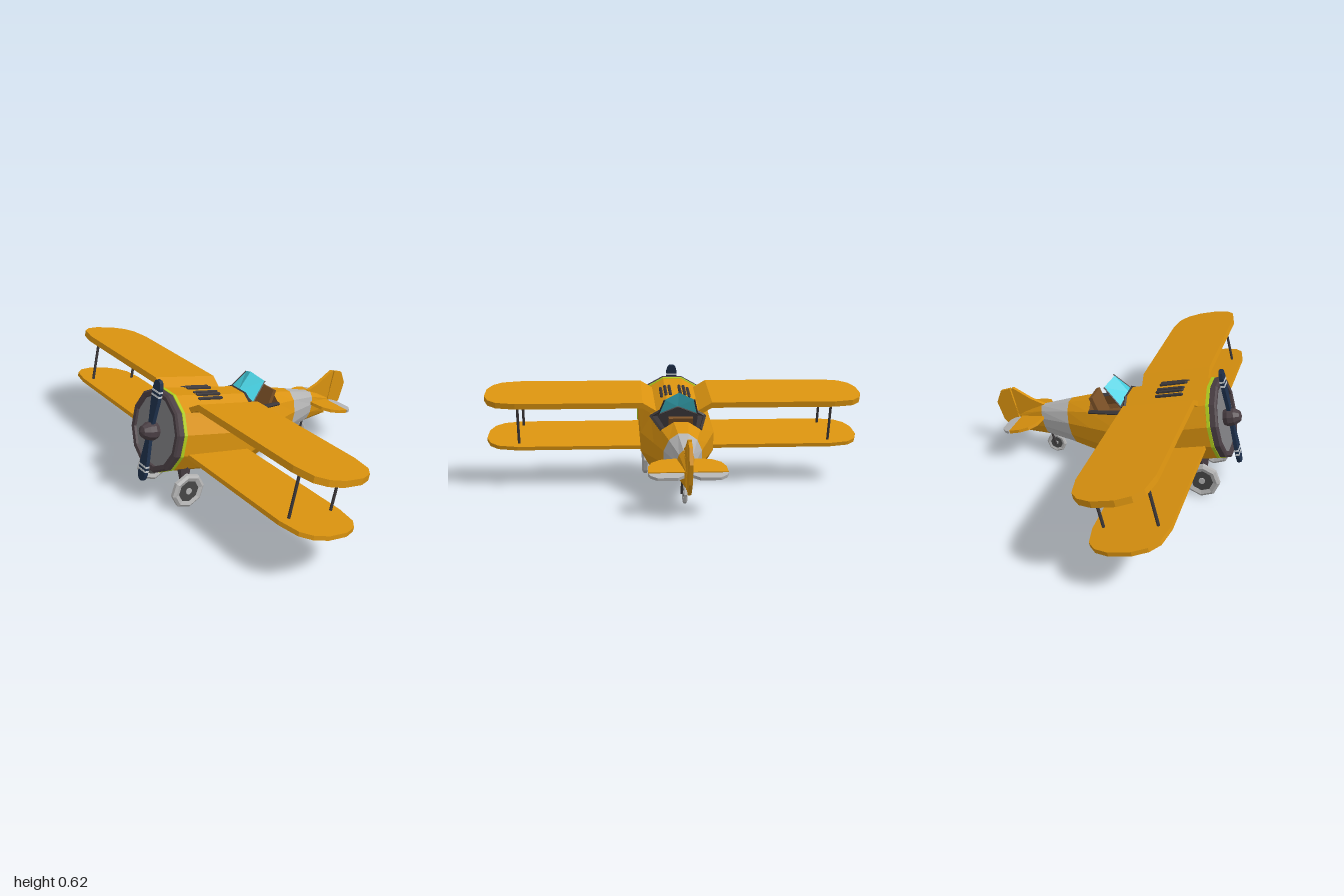
import * as THREE from 'three';

const mat = (color) => new THREE.MeshStandardMaterial({ color, flatShading: true, side: THREE.DoubleSide });
const YELLOW = mat(0xd9920f), GREY = mat(0xb4b4b4), DARK = mat(0x3a3638), CHARCOAL = mat(0x464646);
const LIME = mat(0xaecb1e), DISC = mat(0x7d7d80), NAVY = mat(0x1d2f4a), PALE = mat(0xc8ccd0);
const CYAN = mat(0x45cfe0), BROWN = mat(0x7a5026), HUB = mat(0x4a3f44);
const D = Math.PI / 180;

function add(parent, name, geo, material) {
  const m = new THREE.Mesh(geo, material);
  m.name = name;
  parent.add(m);
  return m;
}

// Twelve-sided cross-section: station, top, bottom, half width
const N = 12, k = 1 / Math.cos(15 * D);
function ringPoint([s, top, bottom, hw], j) {
  const a = (15 + 30 * j) * D;
  return [s, (top + bottom) / 2 + (top - bottom) / 2 * k * Math.cos(a), hw * k * Math.sin(a)];
}
function loft(rings, skip = []) {
  const pos = [];
  for (let i = 0; i + 1 < rings.length; i++) for (let j = 0; j < N; j++) {
    if (skip.includes(j)) continue;
    const a = ringPoint(rings[i], j), b = ringPoint(rings[i + 1], j);
    const c = ringPoint(rings[i + 1], j + 1), d = ringPoint(rings[i], j + 1);
    pos.push(...a, ...d, ...c, ...a, ...c, ...b);
  }
  const g = new THREE.BufferGeometry();
  g.setAttribute('position', new THREE.Float32BufferAttribute(pos, 3));
  g.computeVertexNormals();
  return g;
}
const collapse = ([s, t, b]) => [s, (t + b) / 2, (t + b) / 2, 0];

// Plate with a polygon outline
const plate = (pts, depth) => new THREE.ExtrudeGeometry(
  new THREE.Shape(pts.map((p) => new THREE.Vector2(...p))), { depth, bevelEnabled: false });
// Horizontal plate, outline in (x, z), upper face at y = top
const flat = (pts, top, th) => plate(pts, th).rotateX(Math.PI / 2).translate(0, top, 0);
// Turned part about the fuselage axis, points are (radius, forward)
const turned = (pts, n = N) => new THREE.LatheGeometry(
  pts.map((p) => new THREE.Vector2(...p)), n, 15 * D).rotateZ(Math.PI / 2);
// Bar between two points
function bar(p, q, r, n = 6, r2 = r) {
  const a = new THREE.Vector3(...p), b = new THREE.Vector3(...q), d = b.clone().sub(a);
  const g = new THREE.CylinderGeometry(r2, r, d.length(), n);
  g.applyQuaternion(new THREE.Quaternion().setFromUnitVectors(new THREE.Vector3(0, 1, 0), d.normalize()));
  return g.translate(...a.add(b).multiplyScalar(0.5).toArray());
}
function quads(list) {
  const pos = list.flatMap(([a, b, c, d]) => [...a, ...b, ...c, ...a, ...c, ...d]);
  const g = new THREE.BufferGeometry();
  g.setAttribute('position', new THREE.Float32BufferAttribute(pos, 3));
  g.computeVertexNormals();
  return g;
}

function wheel(r, w, name) {
  const g = new THREE.Group();
  g.name = name;
  const prof = [[0.62, -0.3], [0.85, -0.5], [1, -0.25], [1, 0.25], [0.85, 0.5], [0.62, 0.3]];
  add(g, 'tyre', new THREE.LatheGeometry(prof.map(([a, b]) => new THREE.Vector2(a * r, b * w)), 8)
    .rotateX(Math.PI / 2), GREY);
  add(g, 'wheelDisc', new THREE.CylinderGeometry(r * 0.64, r * 0.64, w * 0.5, 8).rotateX(Math.PI / 2), CHARCOAL);
  add(g, 'wheelHub', new THREE.CylinderGeometry(r * 0.18, r * 0.18, w * 0.8, 10).rotateX(Math.PI / 2), GREY);
  return g;
}

export function createModel() {
  const root = new THREE.Group();
  root.name = 'biplane';
  // Airframe built level, then pitched nose-up on its wheels
  const air = new THREE.Group();
  air.name = 'airframe';
  air.position.set(-0.565, 0.368, 0);
  air.rotation.z = -15 * D;
  root.add(air);

  // Fuselage
  const R = [[0.035, 0.192, -0.192, 0.19], [0.463, 0.186, -0.205, 0.19], [0.66, 0.18, -0.122, 0.133],
    [0.79, 0.174, -0.067, 0.093], [0.955, 0.162, -0.002, 0.045], [1.1, 0.13, 0.031, 0.015]];
  add(air, 'frontFuselage', loft([R[0], R[1]]), YELLOW);
  add(air, 'cockpitFuselage', loft([R[1], R[2]], [10, 11, 0]), YELLOW);
  add(air, 'rearFuselage', loft([R[2], R[3]]), YELLOW);
  add(air, 'tailBand', loft([R[3], R[4]]), GREY);
  add(air, 'tailCone', loft([R[4], R[5], collapse(R[5])]), YELLOW);

  // Cockpit tub, bulkheads, rim and seat
  const tub = [R[1], R[2]].map(([s, t, b, h]) => [s, t - 0.004, b + 0.006, h - 0.006]);
  add(air, 'cockpitLining', loft(tub, [10, 11, 0]), BROWN);
  add(air, 'dashboard', loft([R[1], collapse(R[1])]), DARK);
  add(air, 'rearBulkhead', loft([R[2], collapse(R[2])]), BROWN);
  for (const j of [0, 10]) {
    const v = j === 0 ? 1 : 10;
    const u = v === 1 ? 0 : 11;
    const a = ringPoint(R[1], u), b = ringPoint(R[1], v), c = ringPoint(R[2], v);
    add(air, 'cockpitRim', bar(ringPoint(R[1], j === 0 ? 0 : 10 + 1), b, 0.008, 4), DARK);
    add(air, 'cockpitRim', bar(b, c, 0.009, 4), DARK);
    const inner = c.map((x, i) => (i === 2 ? x * 0.75 : x));
    add(air, 'cockpitSill', quads([[b, c, inner, [b[0], b[1], b[2] * 0.75]]]), DARK);
    add(air, 'cockpitRim', bar(a, ringPoint(R[1], u === 0 ? 11 : 0), 0.006, 4), DARK);
  }
  add(air, 'seatCushion', new THREE.BoxGeometry(0.1, 0.03, 0.12).translate(0.59, 0.06, 0), BROWN);
  const back = add(air, 'seatBack', new THREE.BoxGeometry(0.02, 0.15, 0.12), BROWN);
  back.position.set(0.635, 0.125, 0);
  back.rotation.z = -10 * D;

  // Two-pane windshield with a centre ridge
  const ridge = [[0.463, 0.185, 0], [0.515, 0.28, 0]];
  for (const side of [1, -1]) {
    const low = [0.482, 0.152, side * 0.1], high = [0.553, 0.256, side * 0.075];
    add(air, 'windshieldPane', quads([[ridge[0], low, high, ridge[1]]]), CYAN);
    add(air, 'windshieldFrame', bar(low, high, 0.004, 4), DARK);
    add(air, 'windshieldFrame', bar(ridge[0], low, 0.006, 4), DARK);
  }

  // Cowling, engine face and spinner
  add(air, 'limeBand', turned([[0.196, -0.05], [0.202, -0.048], [0.202, -0.033], [0.196, -0.031]]), LIME);
  add(air, 'cowlRing', turned([[0.199, -0.034], [0.2, -0.006], [0.19, 0.002], [0.17, 0], [0.168, -0.015]]), HUB);
  add(air, 'engineFace', turned([[0.171, -0.012], [0, -0.012]]), DISC);
  add(air, 'spinner', turned([[0.035, -0.02], [0.046, 0.01], [0.042, 0.04], [0.026, 0.066], [0, 0.075]], 10), HUB);

  // Propeller
  const half = [[0.014, 0.02], [0.02, 0.08], [0.028, 0.15], [0.029, 0.215], [0.022, 0.24], [0.01, 0.25]];
  const blade = [...half, ...half.map(([a, b]) => [-a, b]).reverse()];
  for (const sign of [1, -1]) {
    const prop = new THREE.Group();
    prop.name = 'propellerBlade';
    prop.rotation.x = sign > 0 ? 0 : Math.PI;
    air.add(prop);
    add(prop, 'blade', plate(blade, 0.018).rotateY(Math.PI / 2).translate(-0.028, 0, 0), NAVY);
    for (const r of [0.175, 0.197])
      add(prop, 'bladeStripe', new THREE.BoxGeometry(0.021, 0.009, 0.06).translate(-0.019, r, 0), PALE);
  }

  // Wings, struts, roots, louvres and tailplane, mirrored
  const wingOutline = (s0, s1, z0, side) => {
    const tip = [[0, 0.83], [0.02, 0.93], [0.06, 0.975], [0.125, 1]];
    return [[s0, z0], ...tip.map(([x, z]) => [s0 + x, z]),
      ...tip.map(([x, z]) => [s1 - x, z]).reverse(), [s1, z0]].map(([x, z]) => [x, z * side]);
  };
  for (const side of [1, -1]) {
    add(air, 'upperWing', flat(wingOutline(0.085, 0.435, 0.18, side), 0.195, 0.03), YELLOW);
    add(air, 'upperWingRoot', plate([[0.18, 0.195], [0.18, 0.165], [0.1, 0.115], [0.1, 0.145]]
      .map(([z, t]) => [-z * side, t]), 0.35).rotateY(Math.PI / 2).translate(0.085, 0, 0), YELLOW);
    add(air, 'lowerWing', flat(wingOutline(0.078, 0.428, 0.1, side), -0.046, 0.02), YELLOW);
    for (const s of [0.135, 0.378])
      add(air, 'wingStrut', bar([s, -0.05, side * 0.825], [s, 0.17, side * 0.825], 0.007), DARK);
    for (const [z, t] of [[0.027, 0.192], [0.05, 0.19], [0.073, 0.179]])
      add(air, 'engineLouvre', new THREE.CapsuleGeometry(0.009, 0.125, 2, 6).rotateZ(Math.PI / 2)
        .translate(0.235, t, side * z), DARK);
    add(air, 'tailplane', flat([[0.945, 0], [0.945, 0.06], [0.955, 0.12], [0.985, 0.16], [1.03, 0.178],
      [1.085, 0.18], [1.085, 0]].map(([x, z]) => [x, z * side]), 0.116, 0.016), YELLOW);
    add(air, 'elevator', flat([[1.09, 0.02], [1.09, 0.18], [1.115, 0.17], [1.14, 0.14], [1.14, 0.05], [1.115, 0.02]]
      .map(([x, z]) => [x, z * side]), 0.114, 0.014), GREY);
  }

  // Fin and rudder
  add(root, 'fin', plate([[0.36, 0.25], [0.39, 0.285], [0.46, 0.305], [0.56, 0.352], [0.57, 0.348],
    [0.507, 0.115], [0.44, 0.12]], 0.018).translate(0, 0, -0.009), YELLOW);
  add(root, 'rudder', plate([[0.578, 0.345], [0.63, 0.325], [0.655, 0.255], [0.62, 0.16], [0.565, 0.105],
    [0.516, 0.122]], 0.016).translate(0, 0, -0.008), YELLOW);
  add(root, 'rudderHinge', bar([0.535, 0.2, 0], [0.55, 0.25, 0], 0.006), YELLOW);

  // Main landing gear
  for (const side of [1, -1]) {
    const w = wheel(0.088, 0.034, 'mainWheel');
    w.position.set(-0.493, 0.088, side * 0.153);
    root.add(w);
    add(root, 'axle', bar([-0.493, 0.088, side * 0.11], [-0.493, 0.088, side * 0.153], 0.012, 8), HUB);
    add(root, 'gearLeg', bar([-0.493, 0.08, side * 0.125], [-0.48, 0.21, side * 0.11], 0.014, 6, 0.035), HUB);
  }

  // Tail wheel
  const tw = wheel(0.053, 0.02, 'tailWheel');
  tw.position.set(0.325, 0.064, 0);
  root.add(tw);
  for (const side of [1, -1])
    add(root, 'tailWheelFork', bar([0.325, 0.06, side * 0.015], [0.348, 0.13, side * 0.013], 0.006), DARK);
  add(root, 'tailWheelPost', bar([0.345, 0.122, 0], [0.355, 0.16, 0], 0.018), DARK);
  return root;
}
